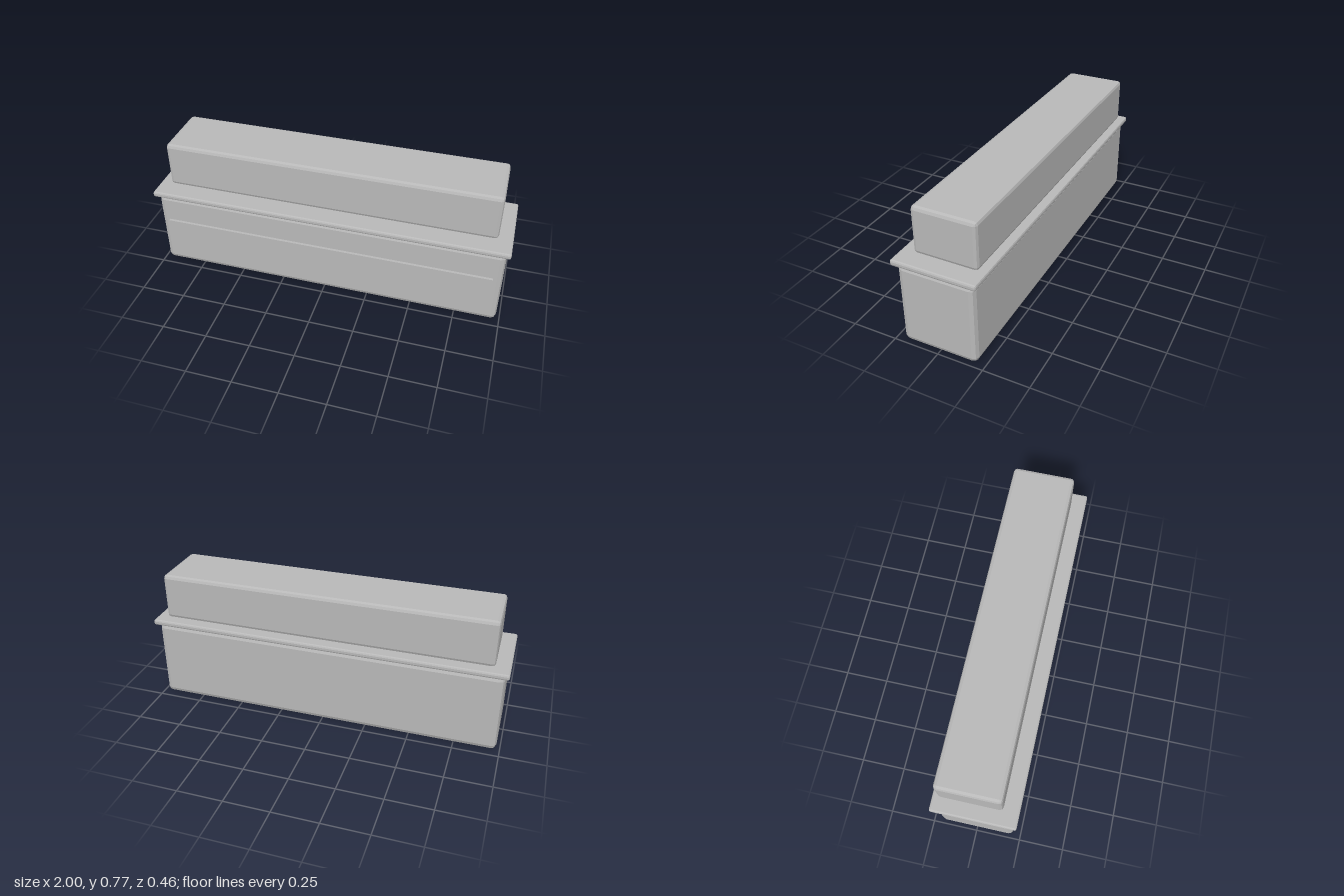
import * as THREE from 'three';
import { RoundedBoxGeometry } from 'three/addons/geometries/RoundedBoxGeometry.js';

export function createModel() {
  const model = new THREE.Group();
  model.name = 'sideboard';
  const grey = new THREE.MeshStandardMaterial({ color: 0xb8b8b8 });
  grey.name = 'plain grey';

  // Box given by its extents, with a two-facet bevel where a radius is set
  function addBox(name, [x0, x1], [y0, y1], [z0, z1], radius = 0) {
    const size = [x1 - x0, y1 - y0, z1 - z0];
    const geometry = radius
      ? new RoundedBoxGeometry(...size, 1, radius)
      : new THREE.BoxGeometry(...size);
    if (radius) geometry.computeVertexNormals(); // unshared corners give flat facets
    const mesh = new THREE.Mesh(geometry, grey);
    mesh.name = name;
    mesh.position.set((x0 + x1) / 2, (y0 + y1) / 2, (z0 + z1) / 2);
    model.add(mesh);
  }

  // Lower cabinet
  addBox('body', [-0.98, 0.98], [0, 0.46], [-0.208, 0.208], 0.028);
  // Raised strip along the front
  addBox('frontStrip', [-0.93, 0.93], [0.243, 0.3], [0.19, 0.223]);
  // Overhanging slab
  addBox('topSlab', [-1, 1], [0.46, 0.492], [-0.23, 0.23], 0.01);
  // Upper block, set towards the back and just clear of the slab
  addBox('upperBlock', [-0.922, 0.922], [0.508, 0.767], [-0.201, 0.145], 0.019);

  return model;
}
